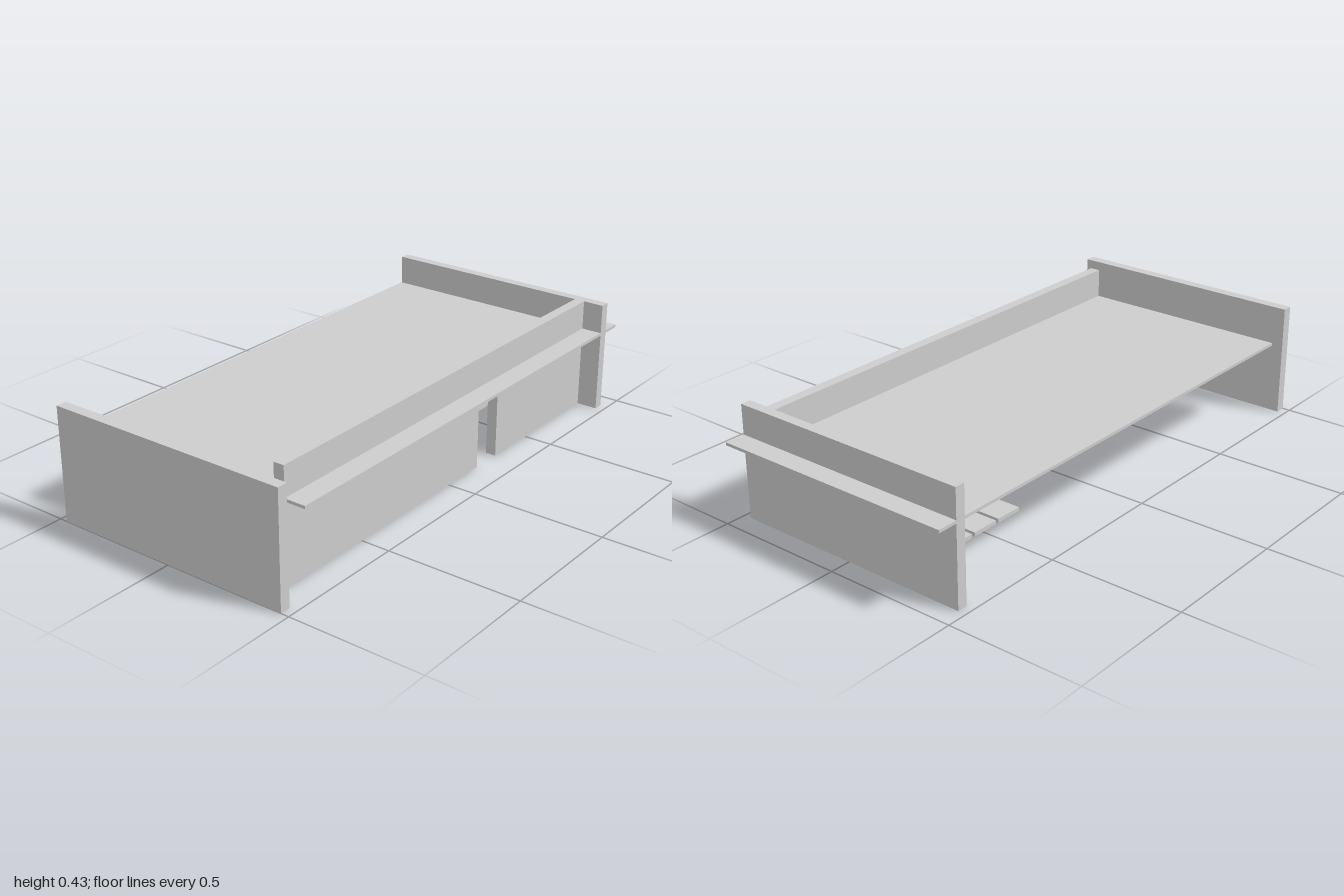
import * as THREE from 'three';

export function createModel() {
  const bed = new THREE.Group();
  bed.name = 'bed';
  const paint = new THREE.MeshStandardMaterial({ color: 0xcccccc });
  paint.name = 'lightGrey';

  // box given by its limits on each axis
  function board(name, [x0, x1], [y0, y1], [z0, z1], parent = bed) {
    const mesh = new THREE.Mesh(new THREE.BoxGeometry(x1 - x0, y1 - y0, z1 - z0), paint);
    mesh.position.set((x0 + x1) / 2, (y0 + y1) / 2, (z0 + z1) / 2);
    mesh.name = name;
    parent.add(mesh);
  }

  const width = [-0.47, 0.47], side = [0.35, 0.39], top = 0.425;

  // end boards and the thin platform that runs on behind the headboard
  board('footboard', width, [0, top], [0.96, 1]);
  board('headboard', width, [0, top], [-0.923, -0.885]);
  board('platform', width, [0.303, 0.314], [-1, 0.88]);

  // side rail above the platform, two panels with a gap below it
  board('sideRail', side, [0.314, top], [-0.885, 0.88]);
  board('sidePanelFoot', side, [0, 0.303], [-0.175, 0.88]);
  board('sidePanelHead', side, [0, 0.303], [-0.885, -0.295]);

  // floor tiles: three by four, without the outer corner tile
  function tileSet(name, x0, z0) {
    const set = new THREE.Group();
    set.name = name;
    for (let i = 0; i < 3; i++) {
      for (let j = 0; j < 4; j++) {
        if (i === 2 && j === 3) continue;
        const x = x0 + i * 0.115, z = z0 + j * 0.122;
        board('floorTile', [x, x + 0.1], [0, 0.015], [z, z + 0.108], set);
      }
    }
    bed.add(set);
  }
  tileSet('headTiles', -0.205, -0.785);
  tileSet('footTiles', 0.019, 0.405);

  return bed;
}
